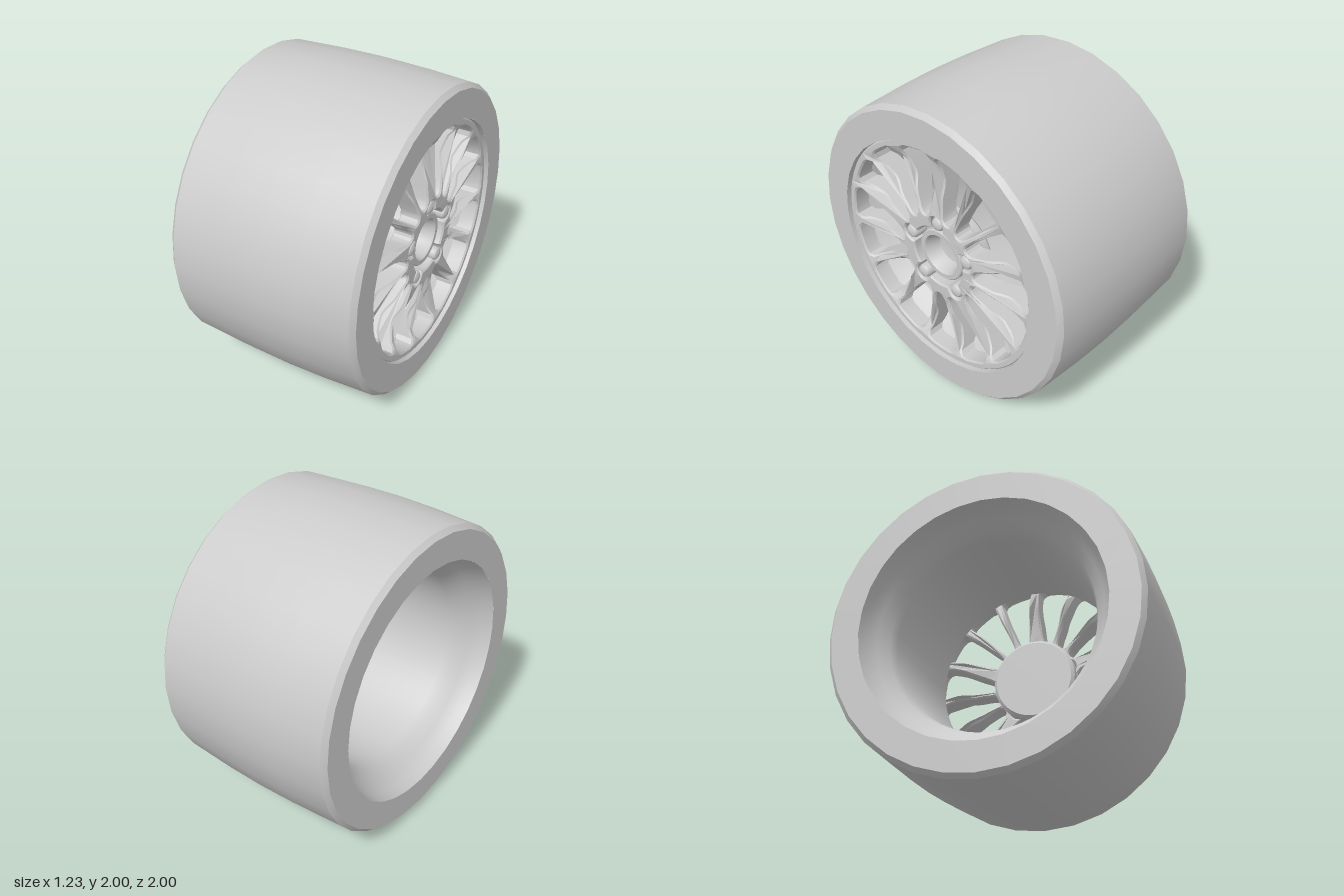
import * as THREE from 'three';
import { toCreasedNormals } from 'three/addons/utils/BufferGeometryUtils.js';

const SPOKES = 15, BOLTS = 5, BOLT_CIRCLE = 0.235, POCKET = 0.053;
const STEP = (2 * Math.PI) / SPOKES;
const TOP = Math.PI / 2;

const metal = new THREE.MeshStandardMaterial({ color: 0xcccccc });

function addMesh(group, name, geometry, crease = 0.5) {
  const mesh = new THREE.Mesh(toCreasedNormals(geometry, crease), metal);
  mesh.name = name;
  group.add(mesh);
  return mesh;
}

// Revolve [radius, x] points around the x axis
function revolve(points, segments) {
  const geometry = new THREE.LatheGeometry(points.map(([r, x]) => new THREE.Vector2(r, x)), segments);
  return geometry.rotateZ(-Math.PI / 2);
}

const polar = (r, a) => new THREE.Vector2(r * Math.cos(a), r * Math.sin(a));

// Outline of one opening between spokes; the hub end leans away from a bolt
function windowPath(index) {
  const angle = TOP + (index + 0.5) * STEP;
  const lean = [0.08, 0, -0.08][index % 3];
  const half = [[0.717, 0.07], [0.705, 0.102]];
  for (let r = 0.675; r > 0.35; r -= 0.035) half.push([r, r * Math.tan(STEP / 2) - 0.027]);
  half.push([0.33, 0.041], [0.305, 0.033], [0.288, 0.018]);
  const mirrored = half.map(([r, h]) => [r, -h]).reverse();
  const outline = [[0.72, 0], ...half, [0.283, 0], ...mirrored];
  return new THREE.Path(outline.map(([r, h]) => {
    const bend = lean * ((0.72 - r) / 0.437) ** 2;
    return polar(Math.hypot(r, h), angle + bend + Math.atan2(h, r));
  }));
}

// Central opening, with a round notch for each bolt
function hubPath() {
  const points = [];
  const count = 150;
  for (let i = 0; i < count; i++) {
    const a = (i / count) * 2 * Math.PI;
    const pitch = (2 * Math.PI) / BOLTS;
    const d = a - Math.round(a / pitch) * pitch;
    const side = BOLT_CIRCLE * Math.sin(d);
    const r = Math.abs(side) < POCKET
      ? BOLT_CIRCLE * Math.cos(d) + Math.sqrt(POCKET ** 2 - side ** 2)
      : 0.2;
    points.push(polar(r, a + TOP));
  }
  return new THREE.Path(points);
}

// Wavy front surface of the spokes: x position at a given radius
function faceX(r) {
  const knots = [[0.29, 0.575], [0.40, 0.56], [0.54, 0.52], [0.62, 0.535], [0.72, 0.59]];
  if (r <= knots[0][0]) return knots[0][1];
  for (let i = 1; i < knots.length; i++) {
    const [r0, x0] = knots[i - 1], [r1, x1] = knots[i];
    if (r < r1) return THREE.MathUtils.lerp(x0, x1, THREE.MathUtils.smoothstep(r, r0, r1));
  }
  return 0.59;
}

function spokeFace() {
  const shape = new THREE.Shape();
  shape.absarc(0, 0, 0.768, 0, 2 * Math.PI);
  for (let i = 0; i < SPOKES; i++) shape.holes.push(windowPath(i));
  shape.holes.push(hubPath());
  const bevel = 0.01;
  const geometry = new THREE.ExtrudeGeometry(shape, {
    depth: 0.11, curveSegments: 32, bevelEnabled: true, bevelSegments: 1,
    bevelSize: bevel, bevelThickness: bevel, bevelOffset: -bevel,
  });
  geometry.translate(0, 0, -0.11 - bevel);
  const p = geometry.attributes.position;
  for (let i = 0; i < p.count; i++) p.setZ(i, p.getZ(i) + faceX(Math.hypot(p.getX(i), p.getY(i))));
  return geometry.rotateY(Math.PI / 2);
}

export function createModel() {
  const wheel = new THREE.Group();
  wheel.name = 'wheel';
  wheel.position.y = 1;

  // Wide tyre with a slightly crowned tread
  addMesh(wheel, 'tyre', revolve([
    [0.77, -0.615], [0.95, -0.615], [0.978, -0.585], [0.995, -0.25], [1, 0],
    [0.995, 0.25], [0.978, 0.585], [0.95, 0.615], [0.77, 0.615],
  ], 32));

  // Rim barrel, open at the inner side
  addMesh(wheel, 'rimBarrel', revolve([
    [0.77, 0.615], [0.767, 0.585], [0.76, 0.52], [0.70, 0.46], [0.67, 0.42], [0.635, 0.38],
    [0.635, -0.36], [0.655, -0.42], [0.71, -0.48], [0.75, -0.55], [0.77, -0.615],
  ], 48));

  addMesh(wheel, 'spokes', spokeFace());

  // Hub plate with a raised collar and a tapered bore
  addMesh(wheel, 'hub', revolve([
    [0, 0.38], [0.26, 0.38], [0.28, 0.40], [0.28, 0.48], [0.172, 0.48], [0.172, 0.54],
    [0.165, 0.547], [0.135, 0.547], [0.127, 0.535], [0.102, 0.45], [0, 0.43],
  ], 40));

  // Domed wheel bolts
  const bolts = new THREE.Group();
  bolts.name = 'bolts';
  wheel.add(bolts);
  for (let i = 0; i < BOLTS; i++) {
    const a = TOP + (i * 2 * Math.PI) / BOLTS;
    const bolt = addMesh(bolts, 'bolt', revolve([
      [0.044, 0.46], [0.044, 0.555], [0.036, 0.57], [0.02, 0.578], [0, 0.58],
    ], 18));
    bolt.position.set(0, BOLT_CIRCLE * Math.sin(a), -BOLT_CIRCLE * Math.cos(a));
  }

  return wheel;
}
